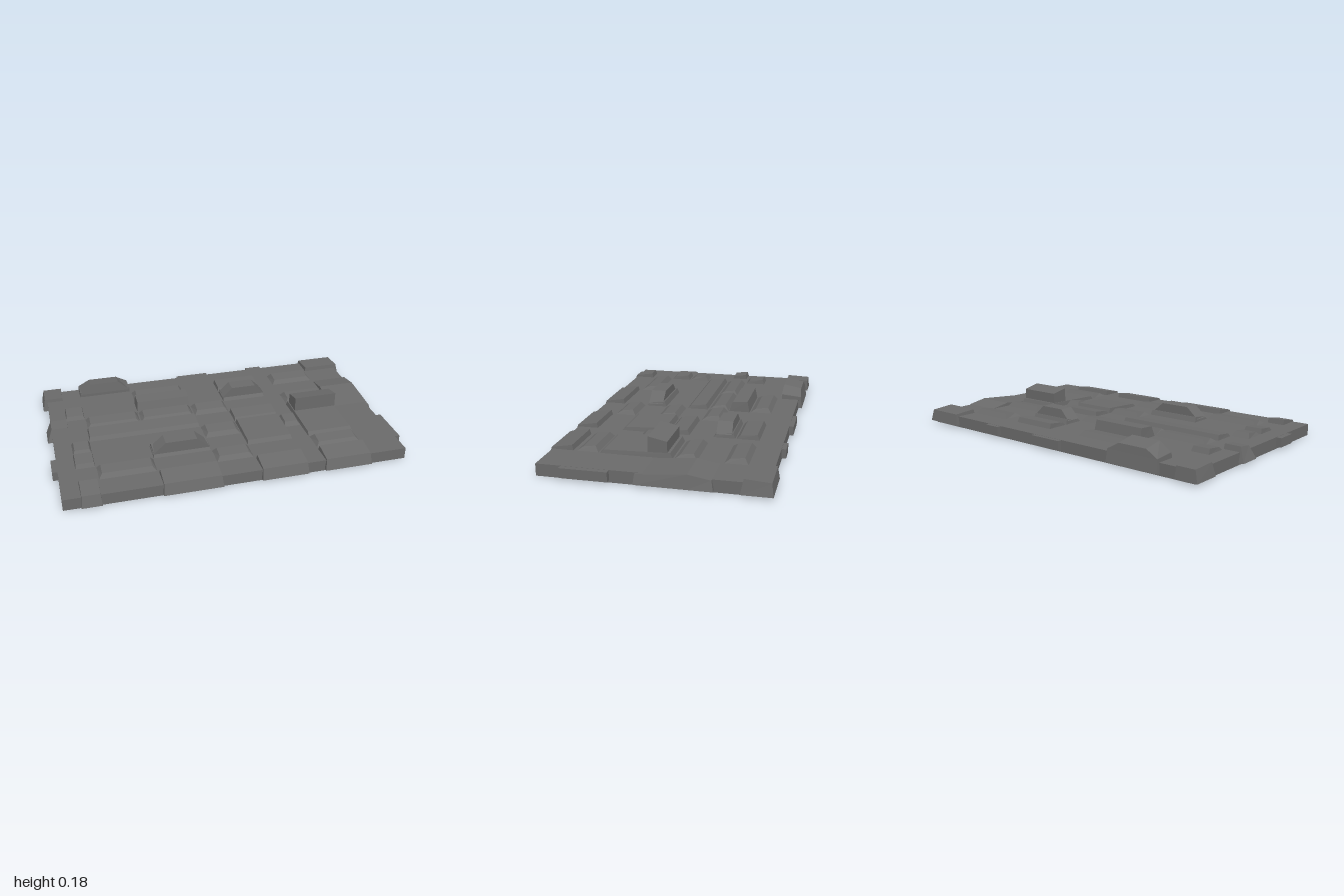
import * as THREE from 'three';

const material = new THREE.MeshStandardMaterial({ color: 0x6a6a6a, flatShading: true });
const BASE = 0.066; // top of the slab
const TOP = 0.095; // usual top of a raised panel

// Six-sided block: bottom and top rectangles [x0, x1, z0, z1], top tilting from back to front.
function wedge(name, bottom, top, y0, yBack, yFront = yBack) {
  const geo = new THREE.BoxGeometry(1, 1, 1);
  const p = geo.attributes.position;
  for (let i = 0; i < p.count; i++) {
    const up = p.getY(i) > 0, front = p.getZ(i) > 0;
    const r = up ? top : bottom;
    const x = p.getX(i) > 0 ? r[1] : r[0];
    p.setXYZ(i, x, up ? (front ? yFront : yBack) : y0, front ? r[3] : r[2]);
  }
  geo.computeVertexNormals();
  const mesh = new THREE.Mesh(geo, material);
  mesh.name = name;
  return mesh;
}

export function createModel() {
  const group = new THREE.Group();
  group.name = 'greebledPanel';
  const add = (...args) => group.add(wedge(...args));

  const slab = [-0.97, 0.97, -0.595, 0.59];
  add('slab', slab, slab, 0, BASE);

  // Panels with a steep back, bevelled ends and a shallow fall to the front
  for (const [x0, x1, z0, z1] of [
    [-0.44, -0.11, -0.465, -0.33], [0.48, 0.755, -0.465, -0.33],
    [-0.765, -0.44, -0.2, -0.07], [-0.44, -0.11, -0.2, -0.07],
    [-0.11, 0.11, -0.2, -0.07], [0.48, 0.755, -0.2, -0.07],
    [-0.875, -0.765, 0.065, 0.2], [-0.11, 0.11, 0.065, 0.2], [0.38, 0.48, 0.065, 0.2],
    [-0.765, -0.44, 0.33, 0.46], [-0.11, 0.11, 0.33, 0.46], [0.48, 0.755, 0.33, 0.46],
  ]) {
    const inset = Math.min(0.025, (x1 - x0) * 0.12);
    add('bevelledPanel', [x0, x1, z0, z1],
      [x0 + inset, x1 - inset, z0 + 0.025, z1 - 0.035], BASE - 0.005, TOP, 0.085);
  }

  // Panels with straight ends, sloping to a steep front
  for (const [x0, x1, z0, z1, yBack = TOP, yFront = 0.085] of [
    [-0.44, -0.11, -0.33, -0.2, 0.13, 0.125], [-0.875, -0.765, -0.33, -0.2],
    [0.11, 0.38, -0.465, -0.33], [0.11, 0.38, -0.33, -0.2],
    [-0.765, -0.11, -0.07, 0.065], [0.11, 0.38, -0.07, 0.06],
    [0.11, 0.38, 0.06, 0.33], [0.48, 0.755, -0.07, 0.33],
    [-0.875, -0.765, 0.2, 0.33], [-0.44, -0.11, 0.195, 0.33],
  ]) {
    add('slopedPanel', [x0, x1, z0, z1], [x0 + 0.005, x1 - 0.005, z0 + 0.015, z1 - 0.025],
      BASE - 0.005, yBack, yFront);
  }

  // Panels wrapping over the front edge
  for (const [x0, x1] of [[-0.875, -0.765], [-0.44, -0.11], [0.11, 0.38], [0.48, 0.755]]) {
    add('frontEdgePanel', [x0, x1, 0.46, 0.615], [x0 + 0.006, x1 - 0.006, 0.48, 0.595],
      0.012, TOP, 0.075);
  }

  // Taller raised housings
  add('rearHousingBase', [-0.765, -0.44, -0.62, -0.49], [-0.76, -0.445, -0.61, -0.49], 0.012, 0.085, 0.095);
  add('rearHousing', [-0.76, -0.445, -0.61, -0.485], [-0.69, -0.515, -0.605, -0.495], 0.085, 0.125, 0.145);
  add('rightHousing', [0.11, 0.38, -0.31, -0.22], [0.17, 0.32, -0.305, -0.22], 0.085, 0.145);
  add('leftHousing', [-0.44, -0.11, 0.22, 0.31], [-0.365, -0.185, 0.22, 0.31], 0.08, 0.145);
  const tall = [0.49, 0.75, -0.04, 0.065];
  add('tallBlock', tall, tall, 0.06, 0.155, 0.177);

  // Flat tabs standing out from the back and sides
  for (const r of [
    [-0.105, 0.1, -0.62, -0.5], [0.38, 0.48, -0.62, -0.5],
    [-1, -0.9, 0.2, 0.325], [0.9, 1, 0.2, 0.455],
  ]) add('edgeTab', r, r, 0.012, BASE - 0.001);

  // Raised panels over the side edges and back corners
  add('leftSidePanel', [-1, -0.87, -0.2, -0.07], [-0.97, -0.875, -0.18, -0.1], 0.012, TOP, 0.085);
  add('leftCorner', [-1, -0.87, -0.62, -0.46], [-0.985, -0.875, -0.615, -0.475], 0.012, 0.08, 0.085);
  add('rightCorner', [0.755, 1, -0.62, -0.46], [0.765, 0.985, -0.61, -0.475], 0.012, 0.08, 0.09);
  add('rightSidePanelRear', [0.755, 1, -0.33, -0.2], [0.76, 0.985, -0.32, -0.2], 0.012, 0.066, 0.086);
  add('rightSidePanelFront', [0.755, 1, -0.2, 0.07], [0.76, 0.985, -0.2, 0.065], 0.012, 0.086, 0.063);

  return group;
}
